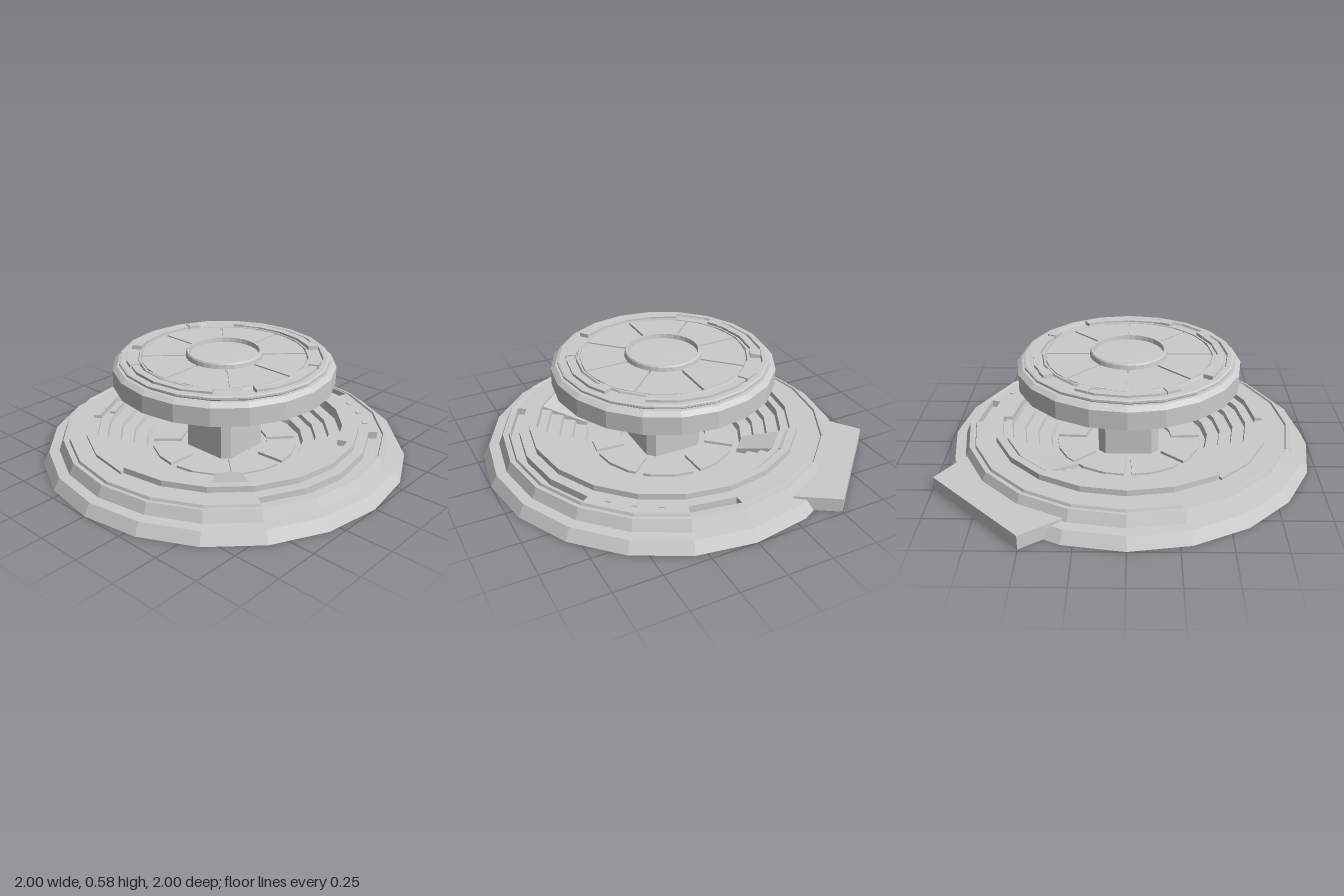
import * as THREE from 'three';

const SIDES = 20;
const STEP = 360 / SIDES;
const rad = THREE.MathUtils.degToRad;

export function createModel() {
  const model = new THREE.Group();
  const grey = new THREE.MeshStandardMaterial({ color: 0xcccccc, flatShading: true });

  const add = (name, geometry, parent = model) => {
    const mesh = new THREE.Mesh(geometry, grey);
    mesh.name = name;
    parent.add(mesh);
    return mesh;
  };
  const group = (name) => {
    const g = new THREE.Group();
    g.name = name;
    model.add(g);
    return g;
  };
  const lathe = (profile) =>
    new THREE.LatheGeometry(profile.map(([r, y]) => new THREE.Vector2(r, y)), SIDES);

  // Point on the faceted ring; angles in degrees run from +z towards +x
  const ringPoint = (r, a) => {
    const local = ((a % STEP) + STEP) % STEP;
    const k = r * Math.cos(rad(STEP / 2)) / Math.cos(rad(local - STEP / 2));
    return new THREE.Vector2(k * Math.sin(rad(a)), -k * Math.cos(rad(a)));
  };
  // Flat outline pushed up from y0 to y1
  const slab = (points, y0, y1) =>
    new THREE.ExtrudeGeometry(new THREE.Shape(points), { depth: y1 - y0, bevelEnabled: false })
      .rotateX(-Math.PI / 2).translate(0, y0, 0);
  // Faceted arc block
  const arc = (r0, r1, a0, a1, y0, y1) => {
    const angles = [a0];
    for (let a = Math.floor(a0 / STEP) * STEP + STEP; a < a1 - 0.01; a += STEP) angles.push(a);
    angles.push(a1);
    const outer = angles.map((a) => ringPoint(r1, a));
    const inner = angles.map((a) => ringPoint(r0, a)).reverse();
    return slab([...outer, ...inner], y0, y1);
  };

  // Stepped base with a terraced well
  add('base', lathe([
    [0, 0], [1, 0], [0.965, 0.062], [0.91, 0.066], [0.885, 0.125], [0.875, 0.125],
    [0.87, 0.115], [0.855, 0.115], [0.85, 0.13], [0.845, 0.13], [0.845, 0.09], [0.795, 0.09],
    [0.795, 0.13], [0.65, 0.13], [0.645, 0.105], [0.58, 0.105], [0.575, 0.08], [0.51, 0.08],
    [0.505, 0.055], [0.44, 0.055], [0.43, 0.025], [0, 0.025],
  ]));

  // Deck plates, leaving two long slots open
  const deck = group('deckPlates');
  for (const [a0, a1] of [[-180, 54], [126, 162]]) {
    add('deckPlate', arc(0.794, 0.846, a0, a1, 0.085, 0.13), deck);
  }
  for (const a of [153, 143.5, 134]) {
    const stud = add('deckStud', new THREE.BoxGeometry(0.028, 0.008, 0.028), deck);
    stud.position.set(0.785 * Math.sin(rad(a)), 0.132, 0.785 * Math.cos(rad(a)));
    stud.rotation.y = rad(a);
  }

  // Raised inner kerb in sections of different width and height
  const kerb = group('kerb');
  for (const [r0, r1, a0, a1, top] of [
    [0.7, 0.74, 0, 110, 0.162],
    [0.65, 0.74, 110, 180, 0.162],
    [0.7, 0.74, 180, 308, 0.162],
    [0.7, 0.76, 308, 360, 0.145],
    [0.65, 0.68, 180, 300, 0.145],
  ]) add('kerbSection', arc(r0, r1, a0, a1, 0.125, top), kerb);

  // Panels on the floor of the well
  const floor = group('floorPanels');
  for (let i = 0; i < 8; i++) {
    add('floorPanel', arc(0.24, 0.4, i * 45 + 3, i * 45 + 42, 0.02, 0.04), floor);
  }

  // Two sloping bridges from the kerb into the well
  for (const a of [45, 225]) {
    const geo = new THREE.BoxGeometry(1, 1, 1);
    const p = geo.attributes.position;
    for (let i = 0; i < p.count; i++) {
      const out = p.getZ(i) > 0;
      const top = p.getY(i) > 0;
      p.setXYZ(i, p.getX(i) * (out ? 0.2 : 0.13), top ? (out ? 0.155 : 0.075) : 0.03, out ? 0.71 : 0.44);
    }
    add('bridge', geo).rotation.y = rad(a);
  }

  // Entry platform at the back right corner
  const platform = [[-0.5, -0.99], [-0.99, -0.5], [-0.85, -0.3], [-0.28, -0.85]];
  add('entryPlatform', slab(platform.map(([x, z]) => new THREE.Vector2(x, -z)), 0.002, 0.078));

  // Square column with cut corners
  const w = 0.163, c = 0.125;
  const column = [[w, -c], [w, c], [c, w], [-c, w], [-w, c], [-w, -c], [-c, -w], [c, -w]];
  add('column', slab(column.map(([x, y]) => new THREE.Vector2(x, y)), 0.02, 0.42));

  // Upper disc
  add('upperDisc', lathe([
    [0, 0.41], [0.6, 0.41], [0.6, 0.507], [0.575, 0.527], [0.555, 0.527], [0.565, 0.535],
    [0.565, 0.546], [0.555, 0.55], [0.53, 0.55], [0.525, 0.538], [0.465, 0.538],
    [0.46, 0.55], [0.45, 0.55], [0.447, 0.532], [0, 0.532],
  ]));

  // Eight wedge panels with gaps between them
  const wedges = group('discPanels');
  for (let i = 0; i < 8; i++) {
    const a = i * 45;
    const points = [];
    for (let k = 0; k <= 4; k++) points.push(ringPoint(0.445, a + 0.8 + k * 10.85));
    for (let k = 4; k >= 0; k--) points.push(ringPoint(0.205, a + 1.8 + k * 10.35));
    add('discPanel', slab(points, 0.525, 0.548), wedges);
  }

  // Arc pads on the rim of the disc
  const pads = group('rimPads');
  for (let i = 0; i < 4; i++) {
    const spread = i % 2 ? 30 : 36;
    add('rimPad', arc(0.475, 0.515, i * 90 - spread, i * 90 + spread, 0.53, 0.553), pads);
    for (const s of [-1, 1]) {
      const end = i * 90 + s * (spread - 4);
      add('rimPadEnd', arc(0.47, 0.525, end - 4, end + 4, 0.53, 0.56), pads);
    }
  }

  // Central hub with a raised lip
  add('hub', new THREE.LatheGeometry([
    [0.21, 0.53], [0.205, 0.57], [0.2, 0.578], [0.188, 0.578], [0.185, 0.553], [0, 0.556],
  ].map(([r, y]) => new THREE.Vector2(r, y)), 32));

  return model;
}
